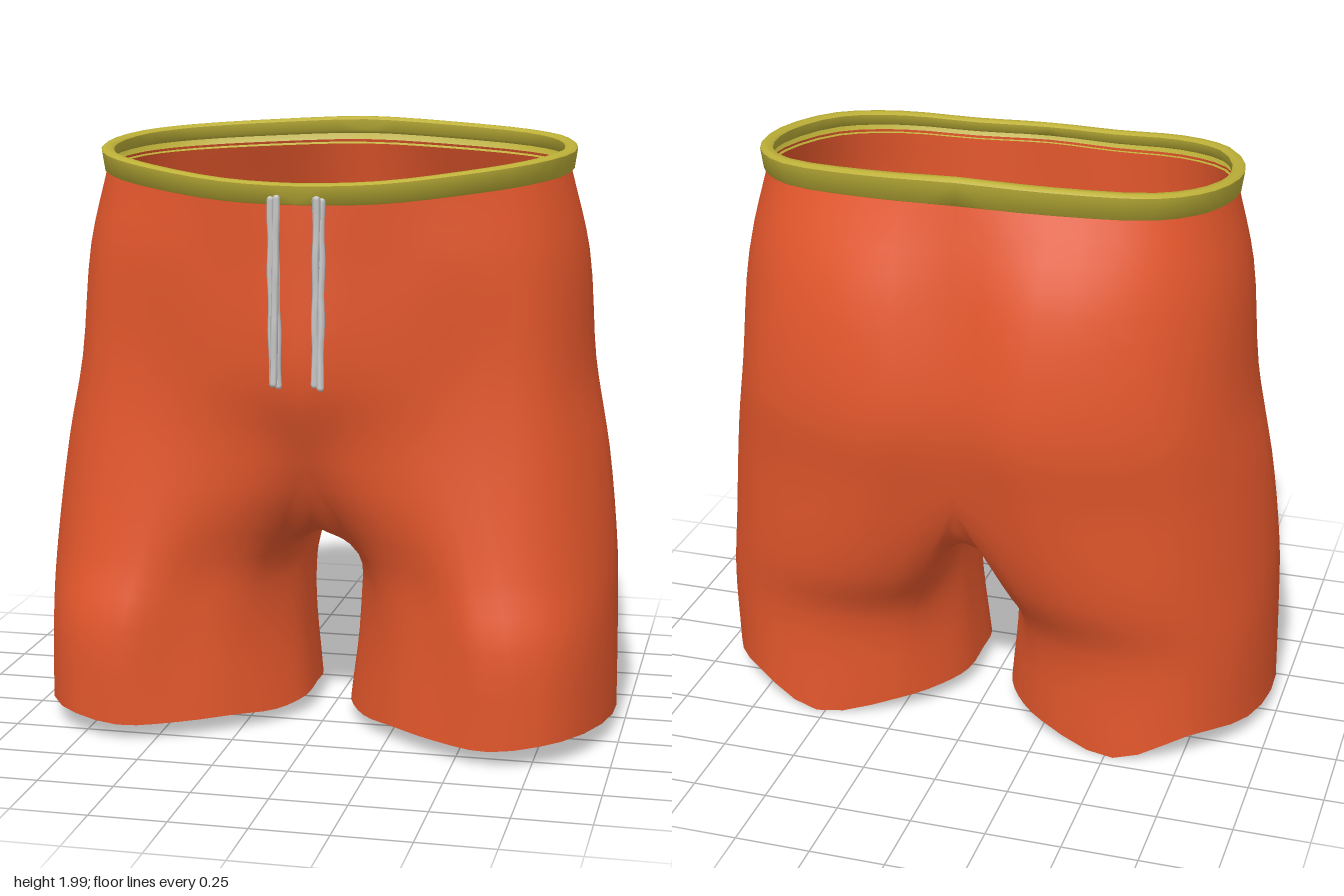
import * as THREE from 'three';
import { mergeVertices, toCreasedNormals } from 'three/addons/utils/BufferGeometryUtils.js';

const V = (x, y, z) => new THREE.Vector3(x, y, z);
const mirror = (p) => V(-p.x, p.y, p.z);
const SUB_U = 3, SUB_V = 4;

// Left-half hip sections, [x, z] from front centre round the side to back centre
const hipY = [[1.8, 1.805, 1.83, 1.85, 1.865, 1.88, 1.89, 1.905, 1.915], 1.6, 1.22, 0.95];
const hips = [
  [[0, .595], [.25, .555], [.5, .47], [.68, .32], [.775, .05], [.735, -.2], [.6, -.355], [.3, -.445], [0, -.47]],
  [[0, .6], [.25, .55], [.5, .49], [.72, .36], [.838, .05], [.79, -.25], [.6, -.47], [.28, -.585], [0, -.54]],
  [[0, .6], [.2, .555], [.45, .49], [.74, .39], [.868, .08], [.83, -.25], [.66, -.5], [.25, -.645], [0, -.59]],
  [[0, .5], [.16, .505], [.45, .5], [.76, .42], [.92, .1], [.88, -.2], [.7, -.46], [.3, -.605], [0, -.55]],
];
// Crotch seam, [y, z] from back to front
const seam = [[.75, -.47], [.68, -.27], [.66, 0], [.67, .2], [.74, .4]];
// Closed leg sections: nine outer points, then five along the inner thigh
const legY = [0.6, 0.38, [.06, .06, .06, .08, .065, .065, .09, .005, .05, .06, .06, .07, .06, .05]];
const legs = [
  [[.2, .38], [.36, .47], [.55, .54], [.8, .46], [.96, .12], [.905, -.2], [.72, -.44], [.4, -.54], [.14, -.45],
    [.1, -.3], [.09, -.13], [.09, 0], [.1, .14], [.13, .27]],
  [[.27, .4], [.42, .49], [.6, .59], [.83, .5], [.965, .14], [.92, -.2], [.75, -.4], [.48, -.46], [.24, -.38],
    [.15, -.25], [.105, -.12], [.1, 0], [.11, .14], [.17, .28]],
  [[.27, .41], [.43, .52], [.62, .59], [.84, .5], [.97, .14], [.93, -.16], [.77, -.38], [.53, -.455], [.26, -.37],
    [.14, -.25], [.08, -.12], [.07, .02], [.08, .16], [.15, .29]],
];

const section = (row, y) => row.map(([x, z], i) => V(x, Array.isArray(y) ? y[i] : y, z));

// Samples evenly between control points, from control a to control b
function sample(points, a, b, sub) {
  const curve = new THREE.CatmullRomCurve3(points);
  const out = [];
  for (let i = a * sub; i <= b * sub; i++) out.push(curve.getPoint(i / sub / (points.length - 1)));
  return out;
}

// Half hip section, smooth across the centre line
const hipRow = (p) => sample([mirror(p[1]), ...p, mirror(p[7])], 1, 9, SUB_U);

// Closed leg section split into outer and inner runs
function legRow(p) {
  const all = sample([p[13], ...p, p[0], p[1]], 1, 15, SUB_U);
  return { outer: all.slice(0, 8 * SUB_U + 1), inner: all.slice(8 * SUB_U) };
}

function addGrid(positions, cols, flip) {
  const tri = (...t) => (flip ? t.reverse() : t).forEach((p) => positions.push(flip ? -p.x : p.x, p.y, p.z));
  for (let u = 0; u < cols.length - 1; u++) {
    for (let v = 0; v < cols[u].length - 1; v++) {
      const a = cols[u][v], b = cols[u][v + 1], c = cols[u + 1][v], d = cols[u + 1][v + 1];
      tri(a, b, c);
      tri(c, b, d);
    }
  }
}

function geometryFrom(positions) {
  const g = new THREE.BufferGeometry();
  g.setAttribute('position', new THREE.Float32BufferAttribute(positions, 3));
  return g;
}

function fabricGeometry() {
  const hipRows = hips.map((r, i) => hipRow(section(r, hipY[i])));
  const legRows = legs.map((r, i) => legRow(section(r, legY[i])));
  const last = section(hips[3], hipY[3]);
  const seamRow = sample([last[8], ...seam.map(([y, z]) => V(0, y, z)), last[0]], 0, 6, SUB_U);

  // Outer columns run from waist to hem, inner ones from crotch to hem
  const column = (pts) => sample(pts, 0, pts.length - 1, SUB_V)
    .map((p) => V(p.x < 1e-4 ? 0 : p.x, p.y, p.z));
  const outer = hipRows[0].map((_, i) => column([...hipRows.map((r) => r[i]), ...legRows.map((r) => r.outer[i])]));
  const inner = seamRow.map((p, i) => column([p, ...legRows.map((r) => r.inner[i])]));
  const crotch = 3 * SUB_V;
  inner[0] = outer[outer.length - 1].slice(crotch);
  inner[inner.length - 1] = outer[0].slice(crotch);

  const positions = [];
  for (const flip of [false, true]) {
    addGrid(positions, outer, flip);
    addGrid(positions, inner, flip);
  }
  const g = mergeVertices(geometryFrom(positions), 1e-4);
  g.computeVertexNormals();
  return g;
}

function waistbandGeometry() {
  const row = hipRow(section(hips[0], hipY[0]));
  // Rounded band profile: [inset from the waist line, fraction of height]
  const profile = [[.005, -.2], [-.01, -.05], [-.02, .95], [-.01, 1.08], [.012, 1.08], [.022, .95], [.018, .45], [.005, .3]];
  const cols = row.map((p, i) => {
    const height = 0.055 + 0.02 * (i / (row.length - 1));
    const a = row[Math.max(i - 1, 0)], b = row[Math.min(i + 1, row.length - 1)];
    const n = V(-(b.z - a.z), 0, b.x - a.x).normalize();
    if (p.x < 1e-4) n.set(0, 0, Math.sign(p.z));
    return profile.map(([inset, h]) => V(p.x - n.x * inset, p.y + h * height, p.z - n.z * inset)).reverse();
  });
  const positions = [];
  addGrid(positions, cols, false);
  addGrid(positions, cols, true);
  return toCreasedNormals(geometryFrom(positions), 0.9);
}

// Drawstring of three loosely twisted strands
function drawstring(x, phase, material) {
  const cord = new THREE.Group();
  cord.name = 'drawstring';
  for (let s = 0; s < 3; s++) {
    const pts = [];
    for (let i = 0; i <= 10; i++) {
      const a = phase + s * Math.PI * 2 / 3 + i * 0.12;
      const r = 0.01 + 0.002 * Math.sin(i * 1.9 + phase);
      pts.push(V(Math.cos(a) * r, 1.815 - i * 0.058 - s * 0.004, Math.sin(a) * r));
    }
    const strand = new THREE.Mesh(
      new THREE.TubeGeometry(new THREE.CatmullRomCurve3(pts), 20, 0.012, 6), material);
    strand.name = 'strand';
    cord.add(strand);
    // Closed strand ends
    for (const end of [pts[0], pts[10]]) {
      const tip = new THREE.Mesh(new THREE.SphereGeometry(0.012, 6, 4), material);
      tip.name = 'strandEnd';
      tip.position.copy(end);
      cord.add(tip);
    }
  }
  cord.position.set(x, 0, 0.624);
  return cord;
}

export function createModel() {
  const model = new THREE.Group();
  model.name = 'shorts';
  const red = new THREE.MeshStandardMaterial({ color: 0xe4572c, side: THREE.DoubleSide });
  const olive = new THREE.MeshStandardMaterial({ color: 0xbdb038, side: THREE.DoubleSide });
  const grey = new THREE.MeshStandardMaterial({ color: 0xcccccc });

  const fabric = new THREE.Mesh(fabricGeometry(), red);
  fabric.name = 'fabric';
  const band = new THREE.Mesh(waistbandGeometry(), olive);
  band.name = 'waistband';
  model.add(fabric, band, drawstring(-0.067, 0.5, grey), drawstring(0.073, 1.7, grey));
  return model;
}
